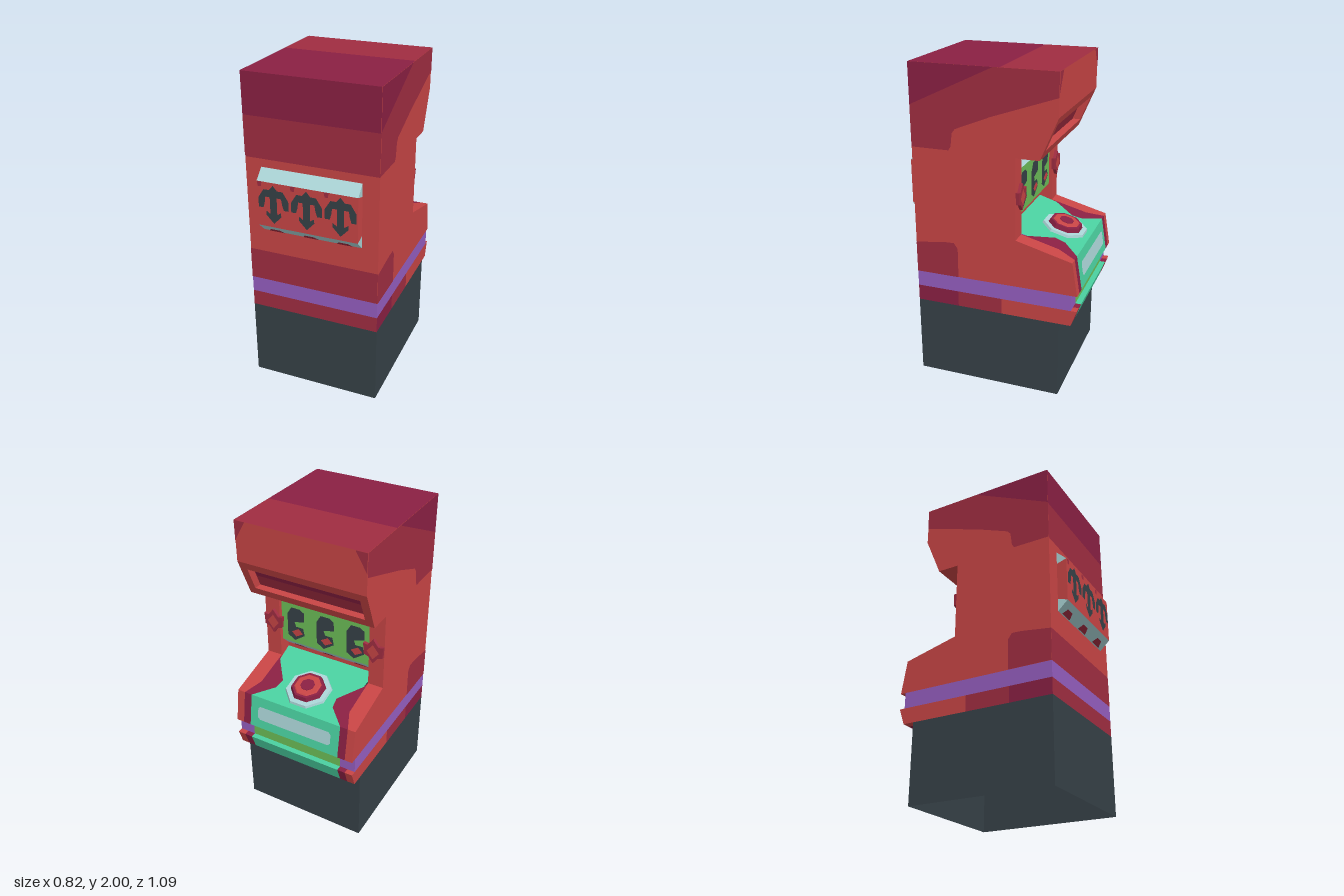
import * as THREE from 'three';

const mat = (name, color) => new THREE.MeshStandardMaterial({ name, color, side: THREE.DoubleSide });

export function createModel() {
  const root = new THREE.Group();
  const red = mat('red', 0xc84545), mid = mat('crimson', 0xa02d41), dark = mat('maroon', 0x8a2043);
  const purple = mat('purple', 0x955ec0), slate = mat('slate', 0x364147), pale = mat('pale blue', 0xaad4d6);
  const teal = mat('teal', 0x4ad0a0), green = mat('green', 0x6cbe58);
  const W = 0.41, B = 0.48; // half width, far wall

  const add = (name, geo, m, parent = root) => {
    const mesh = new THREE.Mesh(geo, m);
    mesh.name = name;
    parent.add(mesh);
    return mesh;
  };
  // flat polygon drawn in 2D and mapped into space
  const surf = (name, m, pts, map, hole) => {
    const shape = new THREE.Shape(pts.map(p => new THREE.Vector2(...p)));
    if (hole) shape.holes.push(new THREE.Path(hole.map(p => new THREE.Vector2(...p))));
    let geo = new THREE.ShapeGeometry(shape).toNonIndexed();
    const pos = geo.attributes.position;
    for (let i = 0; i < pos.count; i++) pos.setXYZ(i, ...map(pos.getX(i), pos.getY(i)));
    geo.computeVertexNormals();
    return add(name, geo, m);
  };
  // polyline of [z, y] points swept from x0 to x1
  const band = (name, m, path, x0 = -W, x1 = W) => {
    const v = [];
    for (let i = 0; i + 1 < path.length; i++) {
      const [za, ya] = path[i], [zb, yb] = path[i + 1];
      v.push(x0, ya, za, x1, ya, za, x1, yb, zb, x0, ya, za, x1, yb, zb, x0, yb, zb);
    }
    const geo = new THREE.BufferGeometry();
    geo.setAttribute('position', new THREE.Float32BufferAttribute(v, 3));
    geo.computeVertexNormals();
    add(name, geo, m);
  };
  const sides = (name, m, pts, x = W) => {
    for (const s of [-1, 1]) surf(name, m, pts, (z, y) => [s * x, y, z]);
  };
  const rect = (a0, b0, a1, b1) => [[a0, b0], [a1, b0], [a1, b1], [a0, b1]];
  const flip = (pts, s) => pts.map(([x, y]) => [x * s, y]);

  // base, open underneath
  sides('baseSide', slate, rect(-0.44, 0, B, 0.5));
  band('baseWall', slate, [[B, 0], [B, 0.5]]);
  band('baseWall', slate, [[-0.44, 0], [-0.44, 0.5]]);

  // lower trim and purple belt
  sides('lowerTrimSide', dark, rect(0.21, 0.5, B, 0.6));
  sides('lowerTrimSide', mid, rect(-0.075, 0.5, 0.21, 0.6));
  sides('lowerTrimSide', red, [[-0.51, 0.5], [-0.075, 0.5], [-0.075, 0.6], [-0.545, 0.6]]);
  sides('beltSide', purple, rect(-0.51, 0.6, B, 0.7));

  // upper body sides with colour patches
  sides('bodySide', red, [[B, 0.7], [-0.545, 0.7], [-0.51, 0.91], [-0.165, 1], [-0.165, 1.5],
    [-0.305, 1.5], [-0.41, 1.75], [-0.41, 2], [B, 2]]);
  sides('sidePatchTop', dark, [[B, 1.755], [-0.034, 2], [B, 2]], W + 0.002);
  sides('sidePatchUpper', mid, [[B, 1.505], [0.245, 1.505], [0.23, 1.53], [0.22, 1.61], [0.2, 1.635],
    [-0.02, 1.725], [-0.41, 1.86], [-0.41, 2], [-0.034, 2], [B, 1.755]], W + 0.002);
  sides('sidePatchLower', mid, [[B, 0.7], [0.205, 0.7], [0.205, 0.89], [0.23, 0.925], [0.288, 0.923], [B, 0.897]], W + 0.002);

  // plain wall and roof
  for (const [m, y0, y1] of [[mid, 0.5, 0.6], [purple, 0.6, 0.7], [mid, 0.7, 0.9], [red, 0.9, 1.5], [mid, 1.5, 1.75], [dark, 1.75, 2]])
    band('wallStripe', m, [[B, y0], [B, y1]]);
  band('roof', dark, [[B, 2], [-0.07, 2]]);
  band('roofEdge', mid, [[-0.07, 2], [-0.41, 2]]);

  // console face and trim in columns
  for (const [m, belt, x0, x1] of [[teal, green, -0.31, 0.31], [dark, purple, 0.31, 0.36], [red, purple, 0.36, W]])
    for (const s of m === teal ? [1] : [-1, 1]) {
      band('consoleFace', m, [[-0.51, 0.91], [-0.545, 0.7], [-0.51, 0.7]], s * x0, s * x1);
      band('beltFace', belt, [[-0.51, 0.7], [-0.51, 0.6]], s * x0, s * x1);
      band('lowerTrimFace', m, [[-0.51, 0.6], [-0.545, 0.6], [-0.51, 0.5], [-0.44, 0.5]], s * x0, s * x1);
    }
  surf('consolePlate', pale, [[-0.255, 0.775], [-0.24, 0.76], [0.24, 0.76], [0.255, 0.775], [0.255, 0.835],
    [0.24, 0.85], [-0.24, 0.85], [-0.255, 0.835]], (x, y) => [x, y, -0.514 - (0.91 - y) / 6]);

  // console top
  const slope = (x, z) => [x, 1 + (z + 0.165) * 0.261, z];
  surf('consoleTop', teal, [[-0.31, -0.51], [0.31, -0.51], [0.2, -0.405], [0.19, -0.34], [0.3, -0.2], [0.31, -0.08],
    [-0.31, -0.08], [-0.3, -0.2], [-0.19, -0.34], [-0.2, -0.405]], slope);
  for (const s of [-1, 1]) {
    surf('consoleTrim', dark, flip([[0.31, -0.51], [0.36, -0.51], [0.31, -0.4], [0.31, -0.165], [0.3, -0.2],
      [0.19, -0.34], [0.2, -0.405]], s), slope);
    surf('consoleEdge', red, flip([[0.36, -0.51], [W, -0.51], [W, -0.165], [0.31, -0.165], [0.31, -0.4]], s), slope);
  }

  // round button
  const button = new THREE.Group();
  button.name = 'button';
  button.position.set(...slope(0, -0.345));
  button.rotation.x = -0.255;
  root.add(button);
  for (const [name, m, r0, r1, y0, y1] of [['buttonRing', pale, 0.14, 0.146, 0, 0.015], ['buttonBody', dark, 0.1, 0.115, 0, 0.042],
    ['buttonCap', red, 0.078, 0.085, 0.042, 0.047], ['buttonCentre', dark, 0.045, 0.045, 0.047, 0.05]]) {
    const geo = new THREE.CylinderGeometry(r0, r1, y1 - y0, 8).toNonIndexed();
    geo.rotateY(Math.PI / 8).translate(0, (y0 + y1) / 2, 0).computeVertexNormals();
    add(name, geo, m, button);
  }

  // screen alcove
  sides('alcoveSide', red, [[-0.165, 1], [-0.08, 1.022], [-0.08, 1.5], [-0.165, 1.5]], 0.31);
  band('alcoveWall', red, [[-0.08, 1.02], [-0.08, 1.5]], -0.31, 0.31);
  band('alcoveCeiling', red, [[-0.08, 1.5], [-0.165, 1.5]], -0.31, 0.31);
  for (const s of [-1, 1]) {
    band('pillar', red, [[-0.165, 1], [-0.165, 1.5]], s * 0.31, s * W);
    // faceted ornament on each pillar
    const star = new THREE.Shape([[0, 0.085], [0.035, 0.04], [0.065, 0.045], [0.06, -0.03], [0.03, -0.04], [0, -0.08],
      [-0.03, -0.04], [-0.06, -0.03], [-0.065, 0.045], [-0.035, 0.04]].map(p => new THREE.Vector2(...p)));
    add('pillarOrnament', new THREE.ExtrudeGeometry(star, { depth: 0.02, bevelEnabled: false }), mid).position.set(s * 0.345, 1.25, -0.185);
    surf('ornamentFace', red, [[0, 0.05], [0.04, 0], [0, -0.05], [-0.04, 0]], (x, y) => [s * 0.345 + x, 1.25 + y, -0.188]);
  }

  // hood with sunken sign window
  const hood = d => (x, y) => [x, y, -0.305 - (y - 1.5) * 0.42 + d];
  band('hoodUnderside', red, [[-0.165, 1.5], [-0.305, 1.5]]);
  surf('hoodFrame', red, rect(-W, 1.5, W, 1.75), hood(0), rect(-0.36, 1.55, 0.36, 1.7));
  surf('signUpper', dark, rect(-0.36, 1.625, 0.36, 1.7), hood(0.05));
  surf('signLower', mid, rect(-0.36, 1.55, 0.36, 1.625), hood(0.05));
  for (const [y, z] of [[1.55, -0.326], [1.7, -0.389]]) band('signLedge', red, [[z, y], [z + 0.05, y]], -0.36, 0.36);
  sides('signEnd', red, [[-0.326, 1.55], [-0.276, 1.55], [-0.339, 1.7], [-0.389, 1.7]], 0.36);
  band('hoodFace', red, [[-0.41, 1.75], [-0.41, 2]]);
  for (const s of [-1, 1])
    surf('hoodCorner', mid, flip([[W, 1.88], [W, 2], [0.34, 2]], s), (x, y) => [x, y, -0.412]);

  // bevelled display boxes, one on each face
  const display = (name, m, zb, zf) => {
    const out = Math.sign(zf - zb) * 0.003;
    band(name + 'Face', m, [[zf, 1.11], [zf, 1.39]], -0.31, 0.31);
    band(name + 'TopBevel', pale, [[zf, 1.39], [zb, 1.45]], -0.31, 0.31);
    band(name + 'BottomBevel', pale, [[zb, 1.05], [zf, 1.11]], -0.31, 0.31);
    sides(name + 'End', m, [[zb, 1.13], [zf, 1.11], [zf, 1.39], [zb, 1.37]], 0.31);
    sides(name + 'EndCorner', pale, [[zb, 1.37], [zf, 1.39], [zb, 1.45]], 0.31);
    sides(name + 'EndCorner', pale, [[zb, 1.13], [zf, 1.11], [zb, 1.05]], 0.31);
    for (const x of [-0.22, 0, 0.21])
      surf(name + 'BevelSpot', mid, [[-0.05, 1.053], [0.05, 1.053], [0.03, 1.082], [-0.03, 1.082]],
        (a, y) => [x + a, y - 0.002, zb + (zf - zb) * (y - 1.05) / 0.06 + out]);
  };
  display('panel', red, B, 0.543);
  display('screen', green, -0.08, -0.14);

  // hooked arrow emblems on the panel, curled shapes on the screen
  const half = [[0.026, 1.345], [0.06, 1.345], [0.095, 1.29], [0.095, 1.23], [0.065, 1.23], [0.055, 1.265], [0.05, 1.3],
    [0.022, 1.3], [0.022, 1.195], [0.047, 1.212], [0.047, 1.185]];
  const arrow = [[0, 1.375], ...half, [0, 1.135], ...flip(half, -1).reverse()];
  const curl = [[-0.06, 1.34], [-0.03, 1.36], [0.03, 1.36], [0.06, 1.31], [0.06, 1.16], [0.01, 1.13], [-0.06, 1.18],
    [-0.05, 1.23], [0, 1.23], [0.01, 1.26], [-0.06, 1.28]];
  for (const x of [-0.207, 0, 0.207]) {
    surf('panelEmblem', slate, arrow, (a, y) => [x + a, y, 0.546]);
    surf('panelSpot', mid, [[-0.1, 1.39], [-0.07, 1.39], [-0.075, 1.36], [-0.095, 1.36]], (a, y) => [x + a, y, 0.546]);
    surf('screenShape', slate, curl, (a, y) => [x + a, y, -0.143]);
    surf('screenSpot', red, [[-0.05, 1.19], [0, 1.16], [0.03, 1.19], [-0.02, 1.22]], (a, y) => [x + a, y, -0.146]);
  }
  return root;
}
